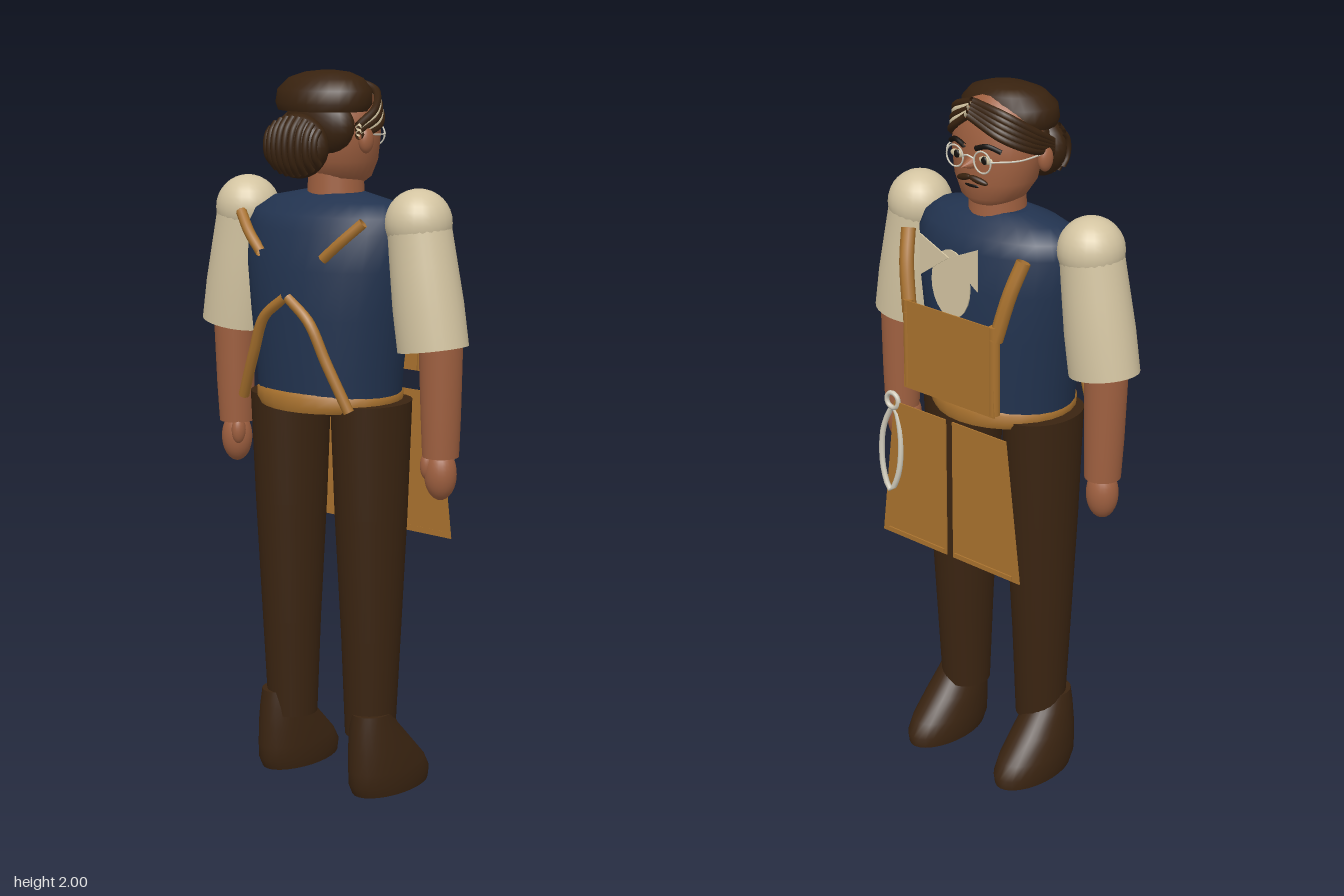
import * as THREE from 'three';

const mat = (name, color) => Object.assign(new THREE.MeshStandardMaterial({ color, side: THREE.DoubleSide }), { name });
const M = {
  navy: mat('navy cloth', 0x22334f),
  brown: mat('dark brown cloth', 0x3a2411),
  hair: mat('dark brown hair', 0x38220f),
  cream: mat('cream linen', 0xd3c4a1),
  skin: mat('skin', 0x9f6040),
  tan: mat('tan leather', 0xa9722e),
  silver: mat('silver metal', 0xd0cbbb),
  black: mat('near black', 0x15100c),
};

// Elliptical rings stacked in y: rows are [y, cx, cz, rx, rz]; repeat a row for a sharp edge
function loft(rows, n = 28) {
  const pos = [], idx = [];
  rows.forEach(([y, cx, cz, rx, rz], r) => {
    for (let i = 0; i < n; i++) {
      const a = (i / n) * Math.PI * 2;
      pos.push(cx + rx * Math.cos(a), y, cz + rz * Math.sin(a));
      if (r === rows.length - 1) continue;
      const p = r * n + i, q = r * n + ((i + 1) % n);
      idx.push(p, p + n, q, q, p + n, q + n);
    }
  });
  const g = new THREE.BufferGeometry();
  g.setAttribute('position', new THREE.Float32BufferAttribute(pos, 3));
  g.setIndex(idx);
  g.computeVertexNormals();
  return g;
}

// Adds flat end caps to loft rows
function capped(rows) {
  const a = rows[0], b = rows[rows.length - 1];
  return [[a[0], a[1], a[2], 0, 0], a, ...rows, b, [b[0], b[1], b[2], 0, 0]];
}

const vec = (p) => new THREE.Vector3(...p);
const ball = (rx, ry, rz) => new THREE.SphereGeometry(1, 24, 16).scale(rx, ry, rz);

// Round strap or strand through points, with rounded ends
function strand(points, r, closed = false) {
  const curve = new THREE.CatmullRomCurve3(points.map(vec), closed);
  return new THREE.TubeGeometry(curve, 24, r, 8, closed);
}

// Flat plate facing -z from 2D points
function plate(points, z, depth = 0.004) {
  const s = new THREE.Shape(points.map(([x, y]) => new THREE.Vector2(x, y)));
  return new THREE.ExtrudeGeometry(s, { depth, bevelEnabled: false }).translate(0, 0, z);
}

export function createModel() {
  const root = new THREE.Group();
  root.name = 'apronedMan';
  const add = (name, geo, material, at = [0, 0, 0], parent = root) => {
    const m = new THREE.Mesh(geo, material);
    m.name = name;
    m.position.set(...at);
    parent.add(m);
    return m;
  };

  // Torso and belt
  add('torso', loft(capped([
    [1.1, 0, 0.02, 0.21, 0.175], [1.2, 0, 0.02, 0.218, 0.18], [1.35, 0, 0.02, 0.24, 0.183],
    [1.48, 0, 0.018, 0.26, 0.18], [1.58, 0, 0.015, 0.267, 0.16], [1.62, 0, 0.012, 0.25, 0.14],
    [1.655, 0, 0.005, 0.2, 0.1], [1.675, 0, 0, 0.1, 0.065],
  ])), M.navy);
  add('belt', loft(capped([
    [1.095, 0, 0.02, 0.2, 0.182], [1.11, 0, 0.02, 0.213, 0.186], [1.135, 0, 0.02, 0.213, 0.186], [1.147, 0, 0.02, 0.2, 0.178],
  ])), M.tan);

  // Legs, boots and arms
  for (const s of [-1, 1]) {
    const side = s > 0 ? 'left' : 'right';
    add(side + 'Leg', loft(capped([
      [0.165, s * 0.145, 0.017, 0.07, 0.072], [0.45, s * 0.147, 0.017, 0.08, 0.088],
      [0.8, s * 0.146, 0.017, 0.094, 0.11], [1.115, s * 0.146, 0.017, 0.1, 0.128],
    ])), M.brown);
    add(side + 'Boot', loft(capped([
      [0, s * 0.17, -0.043, 0.076, 0.142], [0.03, s * 0.17, -0.038, 0.081, 0.151],
      [0.07, s * 0.17, -0.026, 0.08, 0.14], [0.13, s * 0.169, 0.002, 0.073, 0.11],
      [0.19, s * 0.168, 0.028, 0.062, 0.079], [0.235, s * 0.168, 0.04, 0.053, 0.06],
    ])), M.brown);

    add(side + 'Shoulder', ball(0.09, 0.09, 0.09), M.cream, [s * 0.305, 1.612, 0.017]);
    const sleeve = add(side + 'Sleeve', loft(capped([
      [-0.335, 0, 0, 0.1, 0.088], [-0.22, 0, 0, 0.097, 0.092], [-0.12, 0, 0, 0.092, 0.088],
      [0, 0, 0, 0.084, 0.086],
    ])), M.cream, [s * 0.305, 1.612, 0.017]);
    sleeve.rotation.z = s * 0.155;
    add(side + 'Forearm', loft(capped([
      [0.99, s * 0.372, 0, 0.049, 0.05], [1.1, s * 0.373, 0.002, 0.053, 0.055], [1.3, s * 0.373, 0.005, 0.058, 0.061],
    ])), M.skin);
    add(side + 'Hand', ball(0.045, 0.072, 0.043), M.skin, [s * 0.372, 0.942, 0]);
    add(side + 'Thumb', ball(0.019, 0.04, 0.022), M.skin, [s * 0.345, 0.965, 0.022]);

    // Apron: skirt panel, hem, bib edge and straps
    add(side + 'SkirtPanel', plate([[s * 0.012, 0.7], [s * 0.255, 0.7], [s * 0.205, 1.11], [s * 0.012, 1.11]], -0.205), M.tan);
    add(side + 'Hem', new THREE.BoxGeometry(0.21, 0.01, 0.009), M.tan, [s * 0.125, 0.712, -0.205]);
    add(side + 'BibEdge', new THREE.CylinderGeometry(0.015, 0.015, 0.25, 10), M.tan, [s * 0.155, 1.295, -0.192]);
    add(side + 'FrontStrap', strand([[s * 0.205, 1.595, -0.135], [s * 0.185, 1.51, -0.165], [s * 0.155, 1.38, -0.188]], 0.02), M.tan);
    add(side + 'UpperBackStrap', strand([[s * 0.217, 1.615, 0.14], [s * 0.165, 1.565, 0.165], [s * 0.11, 1.515, 0.178]], 0.015), M.tan);
    add(side + 'LowerBackStrap', strand([[s * 0.005, 1.405, 0.198], [s * 0.08, 1.345, 0.2], [s * 0.13, 1.24, 0.188], [s * 0.19, 1.11, 0.165]], 0.015), M.tan);

    // Shirt collar flap
    add(side + 'CollarFlap', plate([[0, 1.575], [s * 0.102, 1.62], [s * 0.102, 1.505]], -0.2), M.cream);

    // Face, one side
    add(side + 'Ear', ball(0.018, 0.035, 0.024), M.skin, [s * 0.135, 1.82, 0.03]);
    add(side + 'EyeWhite', ball(0.024, 0.011, 0.006), M.cream, [s * 0.05, 1.828, -0.107]);
    add(side + 'Pupil', ball(0.01, 0.011, 0.005), M.black, [s * 0.048, 1.828, -0.111]);
    add(side + 'Brow', strand([[s * 0.02, 1.856, -0.113], [s * 0.055, 1.866, -0.107], [s * 0.088, 1.853, -0.09]], 0.007), M.black);
    const tache = add(side + 'Moustache', ball(0.03, 0.009, 0.009), M.hair, [s * 0.025, 1.77, -0.109]);
    tache.rotation.set(0, s * -0.2, s * -0.25);
    add(side + 'SpectacleRim', new THREE.TorusGeometry(0.029, 0.0025, 6, 24), M.silver, [s * 0.048, 1.825, -0.119]);
    add(side + 'SpectacleArm', strand([[s * 0.077, 1.83, -0.119], [s * 0.122, 1.83, -0.06], [s * 0.137, 1.835, 0.02]], 0.0025), M.silver);
  }

  // Bib and cravat
  add('bib', plate([[-0.165, 1.165], [0.165, 1.165], [0.155, 1.42], [-0.155, 1.42]], -0.205), M.tan);
  const oval = Array.from({ length: 24 }, (_, i) => {
    const a = (i / 24) * Math.PI * 2;
    return [0.068 * Math.cos(a), 1.5 + 0.095 * Math.sin(a)];
  });
  add('cravat', plate(oval, -0.192), M.cream);

  // Shears hanging at the hip
  const shears = new THREE.Group();
  shears.name = 'shears';
  root.add(shears);
  add('loop', strand([[0.21, 1.09, -0.2], [0.247, 1.02, -0.205], [0.245, 0.9, -0.212], [0.215, 0.84, -0.215],
    [0.185, 0.9, -0.212], [0.183, 1.02, -0.205]], 0.008, true), M.silver, [0, 0, 0], shears);
  add('ring', new THREE.TorusGeometry(0.022, 0.007, 8, 20), M.silver, [0.212, 1.11, -0.203], shears);

  // Neck and head
  add('neck', new THREE.CylinderGeometry(0.074, 0.08, 0.12, 24), M.skin, [0, 1.695, -0.005]);
  add('head', loft(capped([
    [1.695, 0, -0.035, 0.055, 0.05], [1.715, 0, -0.02, 0.09, 0.083], [1.76, 0, -0.01, 0.118, 0.1],
    [1.83, 0, -0.005, 0.132, 0.106], [1.9, 0, -0.003, 0.13, 0.102], [1.95, 0, 0, 0.1, 0.085], [1.98, 0, 0, 0.05, 0.05],
  ])), M.skin);
  const nose = add('nose', new THREE.ConeGeometry(0.027, 0.06, 10), M.skin, [0, 1.812, -0.118]);
  nose.rotation.x = -Math.PI / 2 - 0.1;
  add('mouth', ball(0.025, 0.005, 0.005), M.black, [0, 1.751, -0.106]);
  add('spectacleBridge', strand([[-0.019, 1.83, -0.119], [0, 1.837, -0.124], [0.019, 1.83, -0.119]], 0.0025), M.silver);

  // Hair: crown, nape and swept strands
  add('crown', loft(capped([
    [1.895, 0, 0.047, 0.134, 0.104], [1.915, 0, 0.045, 0.143, 0.112], [1.95, 0, 0.042, 0.14, 0.108],
    [1.98, 0, 0.036, 0.11, 0.085], [1.995, 0, 0.03, 0.065, 0.055], [2, 0, 0.028, 0.02, 0.02],
  ])), M.hair);
  add('nape', ball(0.115, 0.09, 0.06), M.hair, [0, 1.855, 0.06]);
  for (let i = 0; i < 5; i++) {
    const d = i * 0.014;
    for (const s of [-1, 1]) {
      const light = s > 0 && (i === 1 || i === 3);
      add(light ? 'greyStrand' : 'darkStrand', strand([
        [s > 0 ? 0.025 : 0.02, 1.965 - d * 0.6, -0.075 - d * 0.35], [s * 0.085, 1.945 - d, -0.07 - d * 0.3],
        [s * 0.13, 1.9 - d * 0.8, -0.01 - d * 0.3], [s * 0.133, 1.86 - d * 0.5, 0.06],
      ], light ? 0.009 : 0.011), light ? M.cream : M.hair);
    }
  }

  // Bun with ridged strands
  add('bun', ball(0.098, 0.086, 0.055), M.hair, [0, 1.805, 0.15]);
  for (let i = -4; i <= 4; i++) {
    const x = i * 0.021, k = Math.sqrt(1 - (x / 0.105) ** 2);
    const arc = [-1.2, -0.6, 0, 0.6, 1.2].map((a) => [x, 1.805 + 0.082 * k * Math.sin(a), 0.15 + 0.055 * k * Math.cos(a)]);
    add('bunStrand', strand(arc, 0.009), M.hair);
  }
  return root;
}
